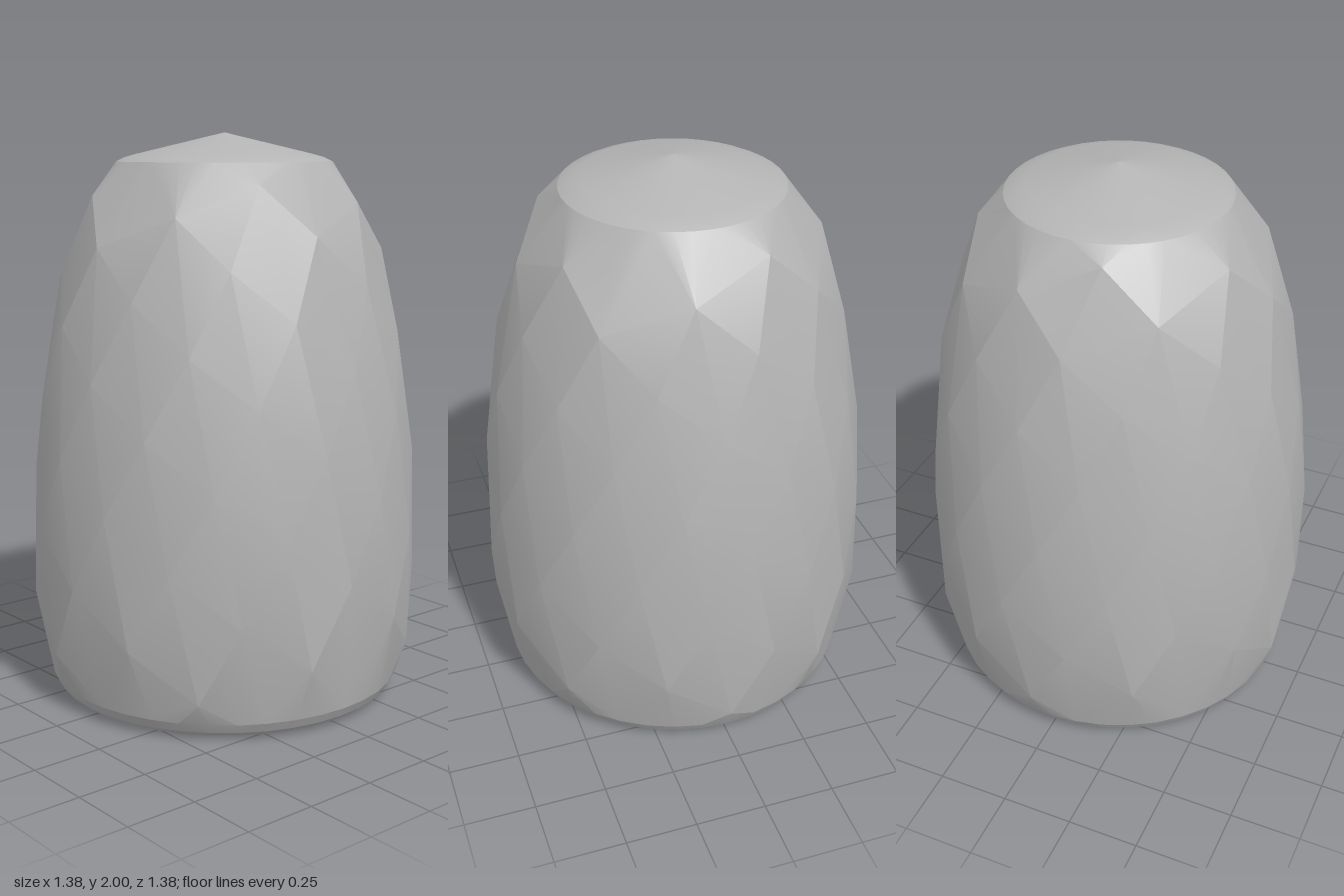
import * as THREE from 'three';
import { ConvexGeometry } from 'three/addons/geometries/ConvexGeometry.js';
import { toCreasedNormals } from 'three/addons/utils/BufferGeometryUtils.js';

// Side profile between the rims: [height, radius]
const PROFILE = [
  [0.1, 0.655], [0.2, 0.68], [0.35, 0.695], [0.6, 0.695], [0.8, 0.685], [1.0, 0.67],
  [1.2, 0.645], [1.4, 0.61], [1.6, 0.555], [1.75, 0.5], [1.83, 0.455], [1.88, 0.41],
];

function radiusAt(y) {
  const i = Math.max(1, PROFILE.findIndex(([h]) => h >= y));
  const [y0, r0] = PROFILE[i - 1], [y1, r1] = PROFILE[i];
  return THREE.MathUtils.lerp(r0, r1, (y - y0) / (y1 - y0));
}

const onRing = (r, y, a) => new THREE.Vector3(r * Math.cos(a), y, r * Math.sin(a));

export function createModel() {
  const stone = new THREE.MeshStandardMaterial({ color: 0xb4b4b4 });
  stone.name = 'grey';
  const points = [new THREE.Vector3(0, 2, 0)];

  // Finely rounded rims at the base and the crown
  const rims = [
    [0.56, 0], [0.59, 0.01], [0.615, 0.03], [0.635, 0.065],
    [0.38, 1.9], [0.35, 1.915], [0.31, 1.926],
  ];
  for (const [r, y] of rims) {
    for (let k = 0; k < 40; k++) points.push(onRing(r, y, (k / 40) * Math.PI * 2));
  }

  // Facet corners wound around the side in a golden-angle spiral
  const corners = 84, golden = Math.PI * (3 - Math.sqrt(5));
  for (let i = 0; i < corners; i++) {
    const y = 0.11 + (1.75 * (i + 0.5)) / corners;
    points.push(onRing(radiusAt(y), y, i * golden));
  }

  // Flat facets stay crisp while the rims shade smoothly
  const body = new THREE.Mesh(toCreasedNormals(new ConvexGeometry(points), 0.24), stone);
  body.name = 'facetedBody';
  const group = new THREE.Group();
  group.name = 'facetedStone';
  group.add(body);
  return group;
}
